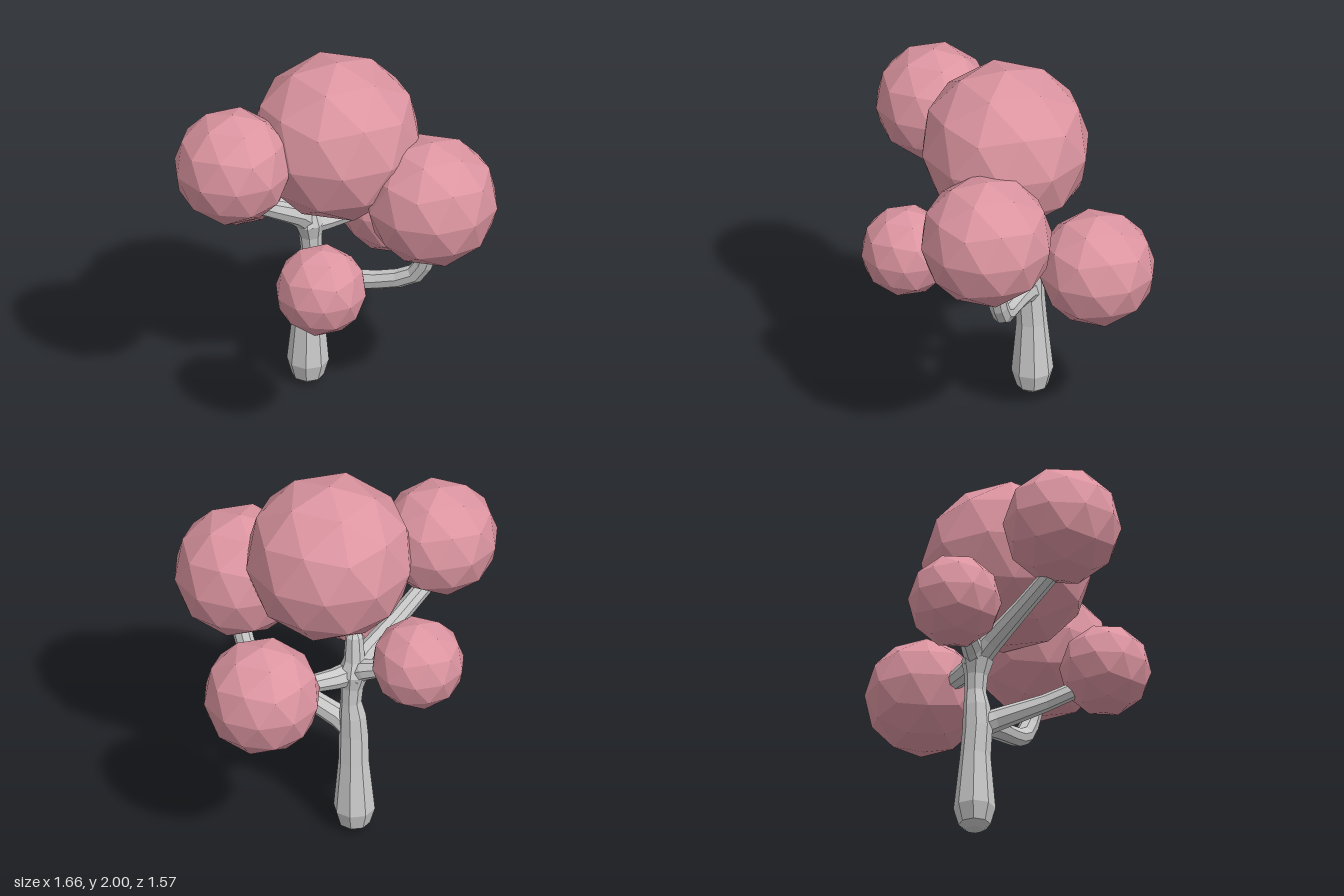
import * as THREE from 'three';

const bark = new THREE.MeshStandardMaterial({ color: 0xcccccc, flatShading: true });
const leaf = new THREE.MeshStandardMaterial({ color: 0xdc95a1, flatShading: true });

// Eight-sided limb through points [x, y, z, radius]; steps = rings per span
function limb(name, pts, steps) {
  const spans = pts.length - 1;
  const curve = new THREE.CatmullRomCurve3(pts.map(p => new THREE.Vector3(p[0], p[1], p[2])));
  curve.getUtoTmapping = u => u; // keep rings aligned with the given points
  const rings = spans * steps;
  let geo = new THREE.TubeGeometry(curve, rings, 1, 8);
  const pos = geo.attributes.position;
  const v = new THREE.Vector3();
  for (let i = 0; i <= rings; i++) {
    const c = curve.getPoint(i / rings);
    const k = Math.min(Math.floor(i / steps), spans - 1);
    const r = THREE.MathUtils.lerp(pts[k][3], pts[k + 1][3], i / steps - k);
    for (let j = 0; j <= 8; j++) {
      const n = i * 9 + j;
      v.fromBufferAttribute(pos, n).sub(c).multiplyScalar(r).add(c);
      pos.setXYZ(n, v.x, v.y, v.z);
    }
  }
  geo = geo.toNonIndexed();
  geo.computeVertexNormals();
  const mesh = new THREE.Mesh(geo, bark);
  mesh.name = name;
  return mesh;
}

// Faceted foliage ball with a vertex at its top; side turns its facets to +x or -x
function foliage(name, x, y, z, r, side) {
  const geo = new THREE.IcosahedronGeometry(r, 1);
  geo.rotateX(-Math.atan((1 + Math.sqrt(5)) / 2));
  geo.rotateY(side * Math.PI / 2);
  geo.computeVertexNormals();
  const mesh = new THREE.Mesh(geo, leaf);
  mesh.name = name;
  mesh.position.set(x, y, z);
  return mesh;
}

export function createModel() {
  const tree = new THREE.Group();
  tree.name = 'tree';

  // Trunk with rounded foot, narrow neck, fork swelling and leader
  tree.add(limb('trunk', [
    [0.035, 0.005, -0.245, 0], [0.035, 0.012, -0.245, 0.045], [0.035, 0.04, -0.245, 0.082],
    [0.035, 0.13, -0.245, 0.108], [0.035, 0.42, -0.24, 0.08], [0.03, 0.58, -0.23, 0.077],
    [0.035, 0.7, -0.23, 0.07], [0.045, 0.79, -0.23, 0.055], [0.04, 0.88, -0.23, 0.06],
    [0.03, 0.96, -0.23, 0.082], [0.025, 1.04, -0.23, 0.056], [0.02, 1.18, -0.22, 0.046],
    [0.02, 1.21, -0.22, 0.025], [0.02, 1.212, -0.22, 0],
  ], 1));

  // Lower fork reaching forward
  tree.add(limb('lowerLeftBranch', [
    [0.03, 0.58, -0.25, 0.06], [0.06, 0.64, -0.15, 0.062], [0.19, 0.715, 0.13, 0.05],
    [0.285, 0.8, 0.31, 0.05], [0.31, 0.96, 0.39, 0.05], [0.31, 1.06, 0.4, 0.045],
  ], 2));
  tree.add(limb('lowerRightBranch', [
    [0.04, 0.58, -0.25, 0.06], [0.0, 0.64, -0.15, 0.06], [-0.15, 0.755, 0.07, 0.046],
    [-0.32, 0.89, 0.28, 0.042],
  ], 1));

  // Upper fork
  tree.add(limb('upperRightBranch', [
    [0.06, 0.93, -0.24, 0.06], [-0.06, 1.04, -0.215, 0.058], [-0.27, 1.17, -0.19, 0.048],
    [-0.5, 1.32, -0.16, 0.045],
  ], 1));
  tree.add(limb('upperLeftBranch', [
    [0.0, 0.96, -0.23, 0.07], [0.13, 0.945, -0.21, 0.056], [0.28, 0.945, -0.18, 0.045],
    [0.45, 0.95, -0.16, 0.043],
  ], 1));
  tree.add(limb('backBranch', [
    [0.04, 0.93, -0.2, 0.06], [0.0, 1.0, -0.29, 0.056], [-0.07, 1.05, -0.4, 0.045],
    [-0.15, 1.12, -0.52, 0.042],
  ], 1));

  // Foliage: name, x, y, z, radius, facing
  [
    ['crownFoliage', 0.04, 1.56, -0.02, 0.44, 1],
    ['upperRightFoliage', -0.54, 1.545, -0.155, 0.305, -1],
    ['frontLeftFoliage', 0.288, 1.297, 0.44, 0.345, 1],
    ['leftFoliage', 0.535, 0.957, -0.15, 0.305, 1],
    ['frontRightFoliage', -0.342, 0.947, 0.312, 0.237, -1],
    ['backFoliage', -0.157, 1.137, -0.548, 0.241, -1],
  ].forEach(f => tree.add(foliage(...f)));

  return tree;
}
